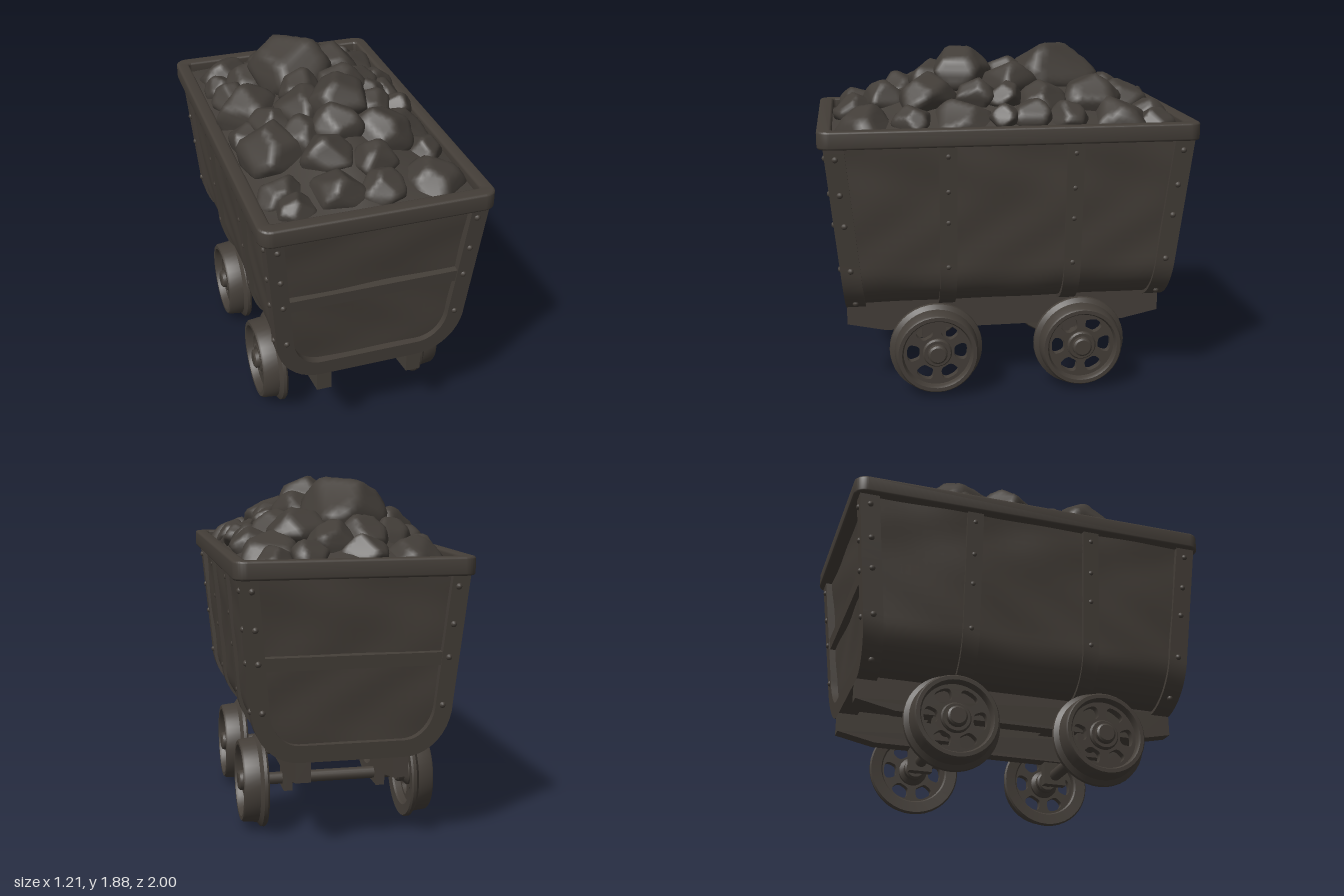
import * as THREE from 'three';
import { mergeVertices, toCreasedNormals } from 'three/addons/utils/BufferGeometryUtils.js';

const TOP = 1.44, BEND = 0.76, FLOOR = 0.48, FLAT = 0.27;
const endZ = (y) => 0.88 + 0.096 * (y - FLOOR);           // sloping end walls
const lerp = THREE.MathUtils.lerp;

// half width of the tub at height y
function halfWidth(y) {
  if (y >= BEND) return lerp(0.515, 0.575, (y - BEND) / (TOP - BEND));
  return FLAT + 0.245 * Math.sqrt(1 - ((BEND - y) / 0.28) ** 2);
}

// right half of the U section, moved inwards by d, from rim to floor
function halfProfile(d) {
  const pts = [];
  for (let i = 0; i <= 14; i++) {
    const y = lerp(TOP, BEND, i / 14);
    pts.push([halfWidth(y) - d, y]);
  }
  for (let i = 1; i <= 10; i++) {
    const a = (i / 10) * Math.PI / 2;
    pts.push([FLAT + (0.245 - d) * Math.cos(a), BEND - (0.28 - d) * Math.sin(a)]);
  }
  return pts;
}
function fullProfile(d) {
  const h = halfProfile(d);
  return [...h, ...h.slice().reverse().map(([x, y]) => [-x, y])];
}

// skin between equal rows of points
function skin(rows, flip, crease) {
  const n = rows[0].length, index = [];
  for (let j = 0; j < rows.length - 1; j++) for (let i = 0; i < n - 1; i++) {
    const a = j * n + i, b = a + 1, c = a + n, e = c + 1;
    if (flip) index.push(a, c, b, b, c, e);
    else index.push(a, b, c, b, e, c);
  }
  const g = new THREE.BufferGeometry();
  g.setAttribute('position', new THREE.Float32BufferAttribute(rows.flat(2), 3));
  g.setIndex(index);
  return toCreasedNormals(g, crease);
}

// U-shaped band around the tub between two z functions
function band(zBack, zFront, inset) {
  const out = fullProfile(0), inn = fullProfile(inset);
  return skin(out.map(([x, y], i) => {
    const [u, v] = inn[i];
    return [[x, y, zBack(y)], [x, y, zFront(y)], [u, v, zFront(v)], [u, v, zBack(v)], [x, y, zBack(y)]];
  }), true, 0.6);
}

function roundedRect(path, w, h, r) {
  path.moveTo(w - r, -h);
  path.absarc(w - r, -h + r, r, -Math.PI / 2, 0);
  path.absarc(w - r, h - r, r, 0, Math.PI / 2);
  path.absarc(-w + r, h - r, r, Math.PI / 2, Math.PI);
  path.absarc(-w + r, -h + r, r, Math.PI, Math.PI * 1.5);
  path.closePath();
  return path;
}

const dent = (a, b) => 0.007 * Math.sin(a * 9 + 1.3 * Math.sin(b * 7)) * Math.sin(b * 11 + a * 3);

export function createModel() {
  const iron = new THREE.MeshStandardMaterial({ color: 0x443e38, side: THREE.DoubleSide });
  iron.name = 'dark iron';
  const coal = new THREE.MeshStandardMaterial({ color: 0x423d38, side: THREE.DoubleSide });
  coal.name = 'coal';
  const model = new THREE.Group();
  model.name = 'mineCart';
  const add = (name, geo, mat = iron, parent = model) => {
    const m = new THREE.Mesh(geo, mat);
    m.name = name;
    parent.add(m);
    return m;
  };

  // tub walls, slightly dented
  const rows = [];
  for (let j = 0; j <= 40; j++) {
    const t = j / 20 - 1;
    rows.push(fullProfile(0.02).map(([x, y]) => {
      const z = t * (endZ(y) - 0.04);
      return [x + Math.sign(x) * dent(z, y), y, z];
    }));
  }
  add('tubWall', skin(rows, false, 1));

  // end panels, cross bars and end frames
  for (const s of [1, -1]) {
    const panel = halfProfile(0.02).map(([x, y]) => {
      const row = [];
      for (let k = 0; k <= 20; k++) {
        const u = x * (k / 10 - 1);
        row.push([u, y, s * (endZ(y) - 0.04 + dent(u + s, y))]);
      }
      return row;
    });
    add('endPanel', skin(panel, s > 0, 1));
    const bar = add('crossBar', new THREE.BoxGeometry(0.9, 0.068, 0.05));
    bar.position.set(0, 0.995, s * (endZ(0.995) - 0.03));
    bar.rotation.x = s * 0.096;
    add('endFrame', s > 0 ? band((y) => endZ(y) - 0.105, endZ, 0.09)
      : band((y) => -endZ(y), (y) => 0.105 - endZ(y), 0.09));
    add('sideStrap', band(() => s * 0.335 - 0.045, () => s * 0.335 + 0.045, 0.05));
  }

  // low rivets on straps and end frames
  const rivetGeo = new THREE.SphereGeometry(0.017, 10, 8);
  for (const sx of [1, -1]) for (const sz of [1, -1]) for (const y of [1.36, 1.17, 1.0, 0.75, 0.54]) {
    const w = halfWidth(y) - 0.004, z = endZ(y) - 0.004;
    add('rivet', rivetGeo).position.set(sx * w, y, sz * (z - 0.05));
    if (y > 0.6) {
      add('rivet', rivetGeo).position.set(sx * (w - 0.05), y, sz * z);
      add('rivet', rivetGeo).position.set(sx * (w - 0.006), y, sz * 0.335);
    }
  }

  // rim
  const rimShape = roundedRect(new THREE.Shape(), 0.592, 0.988, 0.055);
  rimShape.holes.push(roundedRect(new THREE.Path(), 0.547, 0.935, 0.03));
  const rimGeo = new THREE.ExtrudeGeometry(rimShape, {
    depth: 0.07, bevelSize: 0.012, bevelThickness: 0.012, bevelSegments: 3, curveSegments: 8 });
  rimGeo.rotateX(-Math.PI / 2).translate(0, 1.426, 0);
  add('rim', toCreasedNormals(rimGeo, 0.7));

  // coal bed, peaked along the middle
  const heap = (x, z) => Math.max(0, 1 - (Math.abs(x) / 0.58) ** 1.15) * Math.max(0, 1 - Math.abs(z / 0.98) ** 2);
  const bed = new THREE.PlaneGeometry(1.1, 1.88, 16, 24).rotateX(-Math.PI / 2);
  const bp = bed.attributes.position;
  for (let i = 0; i < bp.count; i++) bp.setY(i, 1.45 + 0.27 * heap(bp.getX(i), bp.getZ(i)));
  bed.computeVertexNormals();
  add('coalBed', bed, coal);

  // coal lumps: x, z, radius and, for a few, extra height
  const lumps = [
    [-0.33, -0.75, 0.16], [-0.08, -0.82, 0.12], [0.2, -0.82, 0.1], [0.37, -0.82, 0.1],
    [0.07, -0.69, 0.13], [0.37, -0.6, 0.17], [-0.12, -0.6, 0.14], [-0.45, -0.53, 0.09],
    [-0.28, -0.47, 0.14], [0.2, -0.48, 0.16, 0.03], [-0.08, -0.31, 0.225, 0.1], [-0.4, -0.34, 0.11],
    [0.42, -0.32, 0.11], [-0.35, -0.1, 0.17, 0.03], [0.12, -0.04, 0.14], [0.28, -0.2, 0.12],
    [0.42, -0.13, 0.1], [-0.1, -0.04, 0.11], [0.44, 0.02, 0.08], [0.28, 0.0, 0.09],
    [-0.45, 0.12, 0.09], [-0.3, 0.12, 0.11], [-0.13, 0.14, 0.14], [0.03, 0.22, 0.15, 0.05],
    [0.24, 0.15, 0.11], [0.42, 0.24, 0.16], [-0.4, 0.36, 0.17, 0.08], [-0.19, 0.35, 0.12],
    [0.2, 0.42, 0.15, 0.03], [-0.02, 0.38, 0.12], [0.41, 0.5, 0.1], [-0.12, 0.54, 0.13],
    [-0.42, 0.66, 0.12], [-0.15, 0.76, 0.13], [0.08, 0.64, 0.11], [0.35, 0.74, 0.16],
    [0.07, 0.8, 0.11], [-0.38, 0.82, 0.1]];
  let seed = 11;
  const rand = () => (seed = (seed * 16807) % 2147483647) / 2147483647;
  const ball = new THREE.IcosahedronGeometry(1, 6);
  ball.deleteAttribute('normal');
  ball.deleteAttribute('uv');
  const smoothBall = mergeVertices(ball);
  for (const [x, z, r, lift = 0] of lumps) {
    // random cutting planes with softened edges, narrower towards the top
    const planes = [];
    for (let k = 0; k < 12; k++) {
      const y = 1 - (2 * k + 1) / 12, a = k * 2.4 + rand() * 1.1, q = Math.sqrt(1 - y * y);
      planes.push([new THREE.Vector3(q * Math.cos(a), y, q * Math.sin(a)), 0.8 + 0.2 * rand()]);
    }
    const g = smoothBall.clone(), p = g.attributes.position, d = new THREE.Vector3();
    for (let i = 0; i < p.count; i++) {
      d.fromBufferAttribute(p, i).normalize();
      let sum = 0;
      for (const [n, h] of planes) sum += Math.max(0, d.dot(n) / h) ** 32;
      d.multiplyScalar(r * 1.04 * Math.min(1.15, sum ** (-1 / 32)));
      const taper = 1 - 0.2 * Math.max(0, d.y / r);
      p.setXYZ(i, d.x * taper, d.y * 0.85, d.z * taper);
    }
    g.rotateY(rand() * 6.28);
    g.computeVertexNormals();
    const cx = THREE.MathUtils.clamp(x, r - 0.525, 0.525 - r), cz = THREE.MathUtils.clamp(z, r - 0.9, 0.9 - r);
    add('coalLump', g, coal).position.set(cx, 1.515 + 0.31 * heap(x, z) + lift - 0.78 * r, cz);
  }

  // chassis beams and axle brackets
  const beam = new THREE.Shape([[-0.88, 0.505], [-0.88, 0.375], [-0.67, 0.33], [0.67, 0.33], [0.88, 0.375], [0.88, 0.505]]
    .map(([x, y]) => new THREE.Vector2(x, y)));
  const beamGeo = new THREE.ExtrudeGeometry(beam, { depth: 0.08, bevelEnabled: false }).translate(0, 0, -0.04).rotateY(Math.PI / 2);
  for (const sx of [1, -1]) {
    add('chassisBeam', beamGeo).position.x = sx * 0.253;
    for (const sz of [1, -1]) add('axleBracket', new THREE.BoxGeometry(0.048, 0.16, 0.13)).position.set(sx * 0.257, 0.28, sz * 0.4);
  }

  // wheel parts, with the axle along x
  const rimProfile = [[0.19, 0.39], [0.248, 0.385], [0.256, 0.395], [0.254, 0.412], [0.23, 0.43], [0.222, 0.505],
    [0.214, 0.515], [0.194, 0.515], [0.185, 0.5], [0.182, 0.4], [0.19, 0.39]].map(([r, x]) => new THREE.Vector2(r, x));
  const tyre = toCreasedNormals(new THREE.LatheGeometry(rimProfile, 40).rotateZ(-Math.PI / 2), 0.6);
  const web = new THREE.Shape().absarc(0, 0, 0.19, 0, Math.PI * 2);
  const soft = (v) => Math.sign(v) * Math.abs(v) ** 0.65;
  for (let k = 0; k < 6; k++) {
    const pts = [];
    for (let i = 0; i < 24; i++) {
      const a = -i / 24 * Math.PI * 2, r = 0.13 + 0.036 * soft(Math.sin(a));
      const th = k * Math.PI / 3 + 0.34 * soft(Math.cos(a));
      pts.push(new THREE.Vector2(r * Math.cos(th), r * Math.sin(th)));
    }
    web.holes.push(new THREE.Path(pts));
  }
  const webGeo = toCreasedNormals(new THREE.ExtrudeGeometry(web, { depth: 0.04, bevelEnabled: false, curveSegments: 24 })
    .rotateY(Math.PI / 2).translate(0.435, 0, 0), 0.6);
  const hub = toCreasedNormals(new THREE.LatheGeometry([[0, 0.36], [0.05, 0.36], [0.06, 0.37], [0.06, 0.4], [0.08, 0.42],
    [0.08, 0.485], [0.072, 0.495], [0.055, 0.495], [0.052, 0.515], [0.042, 0.522], [0, 0.522]]
    .map(([r, x]) => new THREE.Vector2(r, x)), 24).rotateZ(-Math.PI / 2), 0.6);
  const axle = new THREE.CylinderGeometry(0.033, 0.033, 0.8, 16).rotateZ(Math.PI / 2);
  for (const z of [0.4, -0.4]) {
    add('axle', axle).position.set(0, 0.256, z);
    for (const turn of [0, Math.PI]) {
      const wheel = new THREE.Group();
      wheel.name = 'wheel';
      add('tyre', tyre, iron, wheel);
      add('spokes', webGeo, iron, wheel);
      add('hub', hub, iron, wheel);
      wheel.position.set(0, 0.256, z);
      wheel.rotation.y = turn;
      model.add(wheel);
    }
  }
  return model;
}
